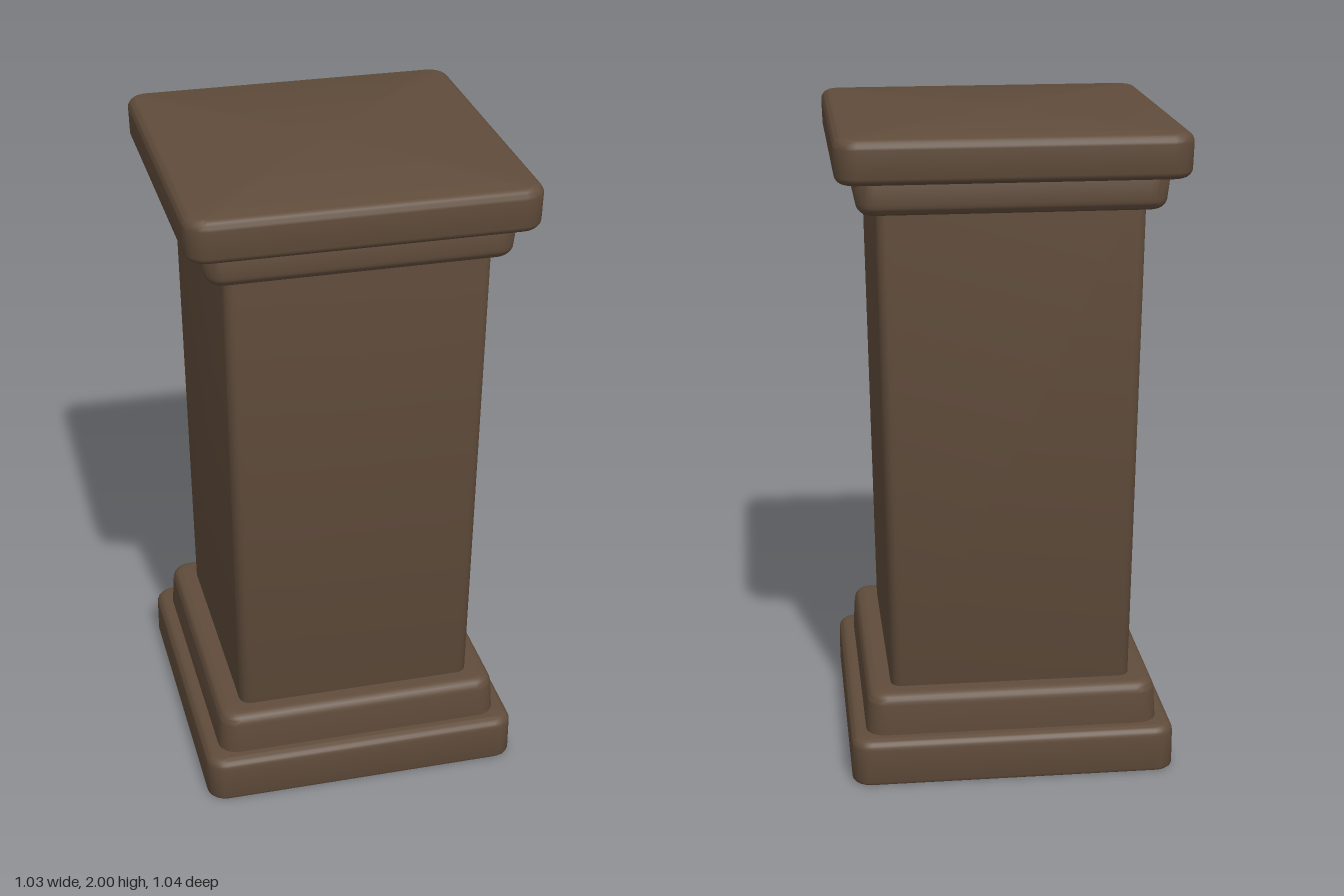
import * as THREE from 'three';
import { toCreasedNormals } from 'three/addons/utils/BufferGeometryUtils.js';

const ARC = 6; // segments per rounded corner or edge

// Rounded rectangle ring at height y, corners of radius r
function ring(hx, hz, r, y) {
  const pts = [];
  for (let q = 0; q < 4; q++) {
    const sx = q === 0 || q === 3 ? 1 : -1, sz = q < 2 ? 1 : -1;
    for (let i = 0; i <= ARC; i++) {
      const a = (q + i / ARC) * Math.PI / 2;
      pts.push([sx * (hx - r) + r * Math.cos(a), y, sz * (hz - r) + r * Math.sin(a)]);
    }
  }
  return pts;
}

// Closed block lofted from bottom to top, with its own edge radius at each end
function block({ y0, y1, bottom, top = bottom, corner, r0, r1, crown = 0 }) {
  const rings = [];
  const add = ([hx, hz], inset, y) => rings.push(ring(hx - inset, hz - inset, corner - inset, y));
  for (let i = 0; i <= ARC; i++) {
    const a = i / ARC * Math.PI / 2;
    add(bottom, r0 * (1 - Math.sin(a)), y0 + r0 * (1 - Math.cos(a)));
  }
  for (let i = 0; i <= ARC; i++) {
    const a = i / ARC * Math.PI / 2;
    add(top, r1 * (1 - Math.cos(a)), y1 - crown - r1 * (1 - Math.sin(a)));
  }
  const n = rings[0].length, last = (rings.length - 1) * n;
  const pos = rings.flat(2), idx = [];
  pos.push(0, y0, 0, 0, y1, 0);
  const c0 = rings.length * n, c1 = c0 + 1;
  for (let j = 0; j < n; j++) {
    const k = (j + 1) % n;
    for (let i = 0; i < last; i += n) {
      idx.push(i + j, i + n + j, i + k, i + k, i + n + j, i + n + k);
    }
    idx.push(c0, j, k, c1, last + k, last + j);
  }
  const geo = new THREE.BufferGeometry();
  geo.setAttribute('position', new THREE.Float32BufferAttribute(pos, 3));
  geo.setIndex(idx);
  return toCreasedNormals(geo, 0.6);
}

export function createModel() {
  const group = new THREE.Group();
  group.name = 'pedestal';
  const brown = new THREE.MeshStandardMaterial({ color: 0x604c3b });
  brown.name = 'brown stone';

  const parts = {
    basePlinth: { y0: 0, y1: 0.147, bottom: [0.5, 0.513], corner: 0.06, r0: 0.01, r1: 0.03 },
    baseStep: { y0: 0.13, y1: 0.277, bottom: [0.453, 0.468], top: [0.447, 0.463], corner: 0.06, r0: 0.01, r1: 0.035 },
    // Shaft widens slightly towards the top
    shaft: { y0: 0.25, y1: 1.8, bottom: [0.372, 0.396], top: [0.395, 0.415], corner: 0.035, r0: 0.01, r1: 0.01 },
    capitalStep: { y0: 1.762, y1: 1.88, bottom: [0.452, 0.464], top: [0.46, 0.468], corner: 0.06, r0: 0.035, r1: 0.01 },
    capitalSlab: { y0: 1.86, y1: 2, bottom: [0.514, 0.518], top: [0.516, 0.52], corner: 0.065, r0: 0.03, r1: 0.03, crown: 0.006 },
  };
  for (const [name, spec] of Object.entries(parts)) {
    const mesh = new THREE.Mesh(block(spec), brown);
    mesh.name = name;
    group.add(mesh);
  }
  return group;
}
